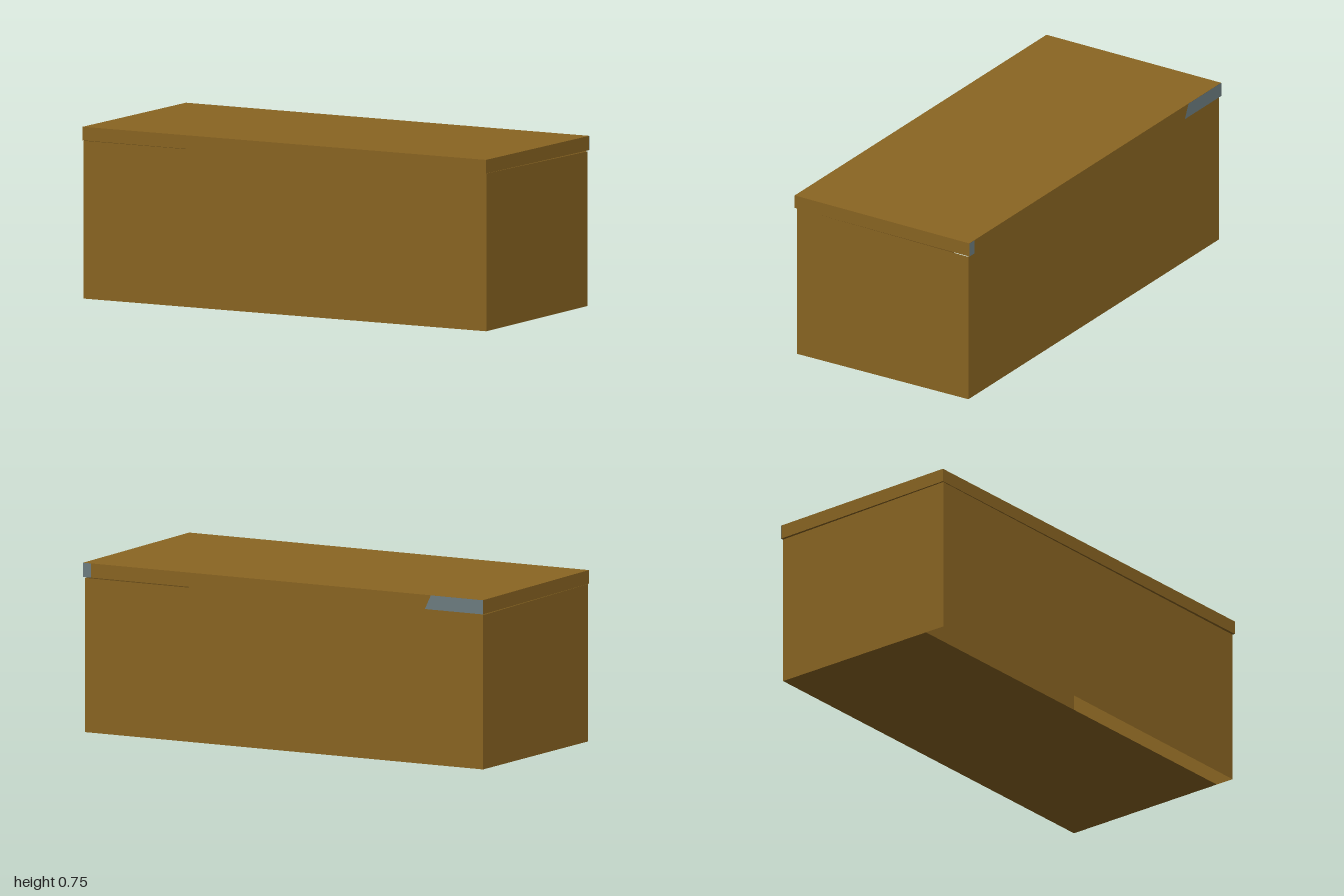
import * as THREE from 'three';

const wood = new THREE.MeshStandardMaterial({ color: 0x8a6522, side: THREE.DoubleSide });
wood.name = 'brown wood';
const metal = new THREE.MeshStandardMaterial({ color: 0x6d7d80, side: THREE.DoubleSide });
metal.name = 'grey metal';

// Flat four-cornered board; corners run counter-clockwise seen from outside.
function board(name, a, b, c, d, material = wood) {
  const geometry = new THREE.BufferGeometry();
  geometry.setAttribute('position', new THREE.Float32BufferAttribute([a, b, c, a, c, d].flat(), 3));
  geometry.computeVertexNormals();
  const mesh = new THREE.Mesh(geometry, material);
  mesh.name = name;
  return mesh;
}

export function createModel() {
  const chest = new THREE.Group();
  chest.name = 'chest';

  const X = 0.996, back = -0.44, frontL = 0.437, frontR = 0.446;
  const topFront = 0.686, topBack = 0.672;

  // Open body of thin boards; the front board stands slightly askew
  const body = new THREE.Group();
  body.name = 'body';
  body.add(
    board('frontBoard', [-X, 0, frontR], [X, 0, frontL], [X, topFront, frontL], [-X, topFront, frontR]),
    board('backBoard', [X, 0, back], [-X, 0, back], [-X, topBack, back], [X, topBack, back]),
    board('leftBoard', [X, 0, frontL], [X, 0, back], [X, topBack, back], [X, topFront, frontL]),
    board('rightBoard', [-X, 0, back], [-X, 0, frontR], [-X, topFront, frontR], [-X, topBack, back]),
    // The floor stops short of the front board
    board('floorBoard', [-X, 0, back], [X, 0, back], [X, 0, 0.35], [-X, 0, 0.35])
  );
  chest.add(body);

  // Lid: a slab sloping gently to the back, profile drawn in (-z, y)
  const profile = new THREE.Shape([
    new THREE.Vector2(-0.447, 0.688),
    new THREE.Vector2(0.447, 0.677),
    new THREE.Vector2(0.447, 0.739),
    new THREE.Vector2(-0.447, 0.747),
  ]);
  const lidGeometry = new THREE.ExtrudeGeometry(profile, { depth: 2, bevelEnabled: false });
  lidGeometry.rotateY(Math.PI / 2).translate(-1, 0, 0);
  const lid = new THREE.Mesh(lidGeometry, wood);
  lid.name = 'lid';
  chest.add(lid);

  // Metal showing at both ends of the lid's back edge
  const z = -0.448;
  chest.add(
    board('rightHingePlate', [-0.71, 0.677, z], [-1, 0.677, z], [-1, 0.739, z], [-0.74, 0.739, z], metal),
    board('leftHingePlate', [1, 0.677, z], [0.96, 0.677, z], [0.96, 0.739, z], [1, 0.739, z], metal)
  );

  return chest;
}
